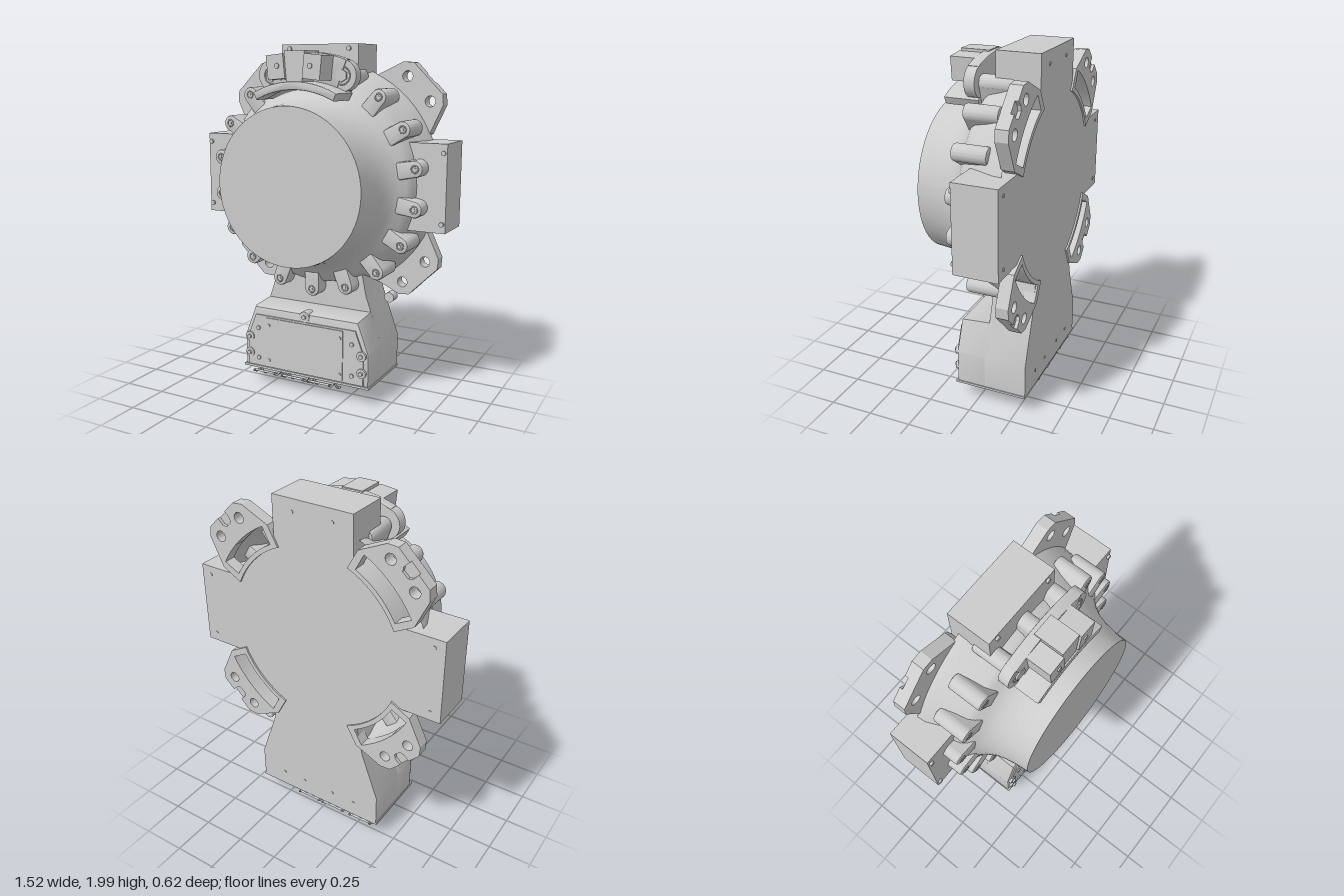
import * as THREE from 'three';
import { toCreasedNormals } from 'three/addons/utils/BufferGeometryUtils.js';

const CY = 1.24; // height of the round housing's axis
const mat = new THREE.MeshStandardMaterial({ color: 0xcccccc });
const thin = new THREE.MeshStandardMaterial({ color: 0xcccccc, side: THREE.DoubleSide });
const rad = THREE.MathUtils.degToRad;

export function createModel() {
  const model = new THREE.Group();

  const add = (name, geo, parent = model, material = mat) => {
    const m = new THREE.Mesh(geo, material);
    m.name = name;
    parent.add(m);
    return m;
  };
  // box from min/max corners
  const box = (name, x0, x1, y0, y1, z0, z1, parent) =>
    add(name, new THREE.BoxGeometry(x1 - x0, y1 - y0, z1 - z0)
      .translate((x0 + x1) / 2, (y0 + y1) / 2, (z0 + z1) / 2), parent);
  // cylinder along z
  const rod = (name, x, y, z0, z1, r, sides = 16, parent = model) =>
    add(name, new THREE.CylinderGeometry(r, r, z1 - z0, sides).rotateX(Math.PI / 2)
      .translate(x, y, (z0 + z1) / 2), parent);
  const shapeOf = pts => new THREE.Shape(pts.map(p => new THREE.Vector2(p[0], p[1])));
  // extrusion between two z planes, with an optional bevel kept inside that range
  const plate = (shape, z0, z1, bevel = 0) => toCreasedNormals(new THREE.ExtrudeGeometry(shape, {
    depth: z1 - z0 - 2 * bevel, curveSegments: 14, bevelEnabled: bevel > 0,
    bevelSize: bevel, bevelThickness: bevel, bevelOffset: -bevel, bevelSegments: 2,
  }).translate(0, 0, z0 + bevel), 0.5);
  const sector = (r0, r1, a0, a1, Type = THREE.Shape) => {
    const s = new Type();
    s.absarc(0, 0, r1, rad(a0), rad(a1), false);
    s.absarc(0, 0, r0, rad(a1), rad(a0), true);
    s.closePath();
    return s;
  };

  // Round housing: solid core, flared outer shell, flat front face
  const housing = new THREE.Group();
  housing.name = 'housing';
  housing.position.y = CY;
  model.add(housing);
  rod('core', 0, 0, -0.3, -0.01, 0.55, 64, housing);
  const profile = [[0.655, -0.25], [0.65, -0.2], [0.605, -0.09], [0.585, -0.02], [0.56, 0.01], [0.525, 0.035],
    [0.495, 0.07], [0.47, 0.115], [0.453, 0.17], [0.441, 0.24], [0.435, 0.31]];
  add('flaredShell', new THREE.LatheGeometry(profile.map(p => new THREE.Vector2(...p)), 64)
    .rotateX(Math.PI / 2), housing, thin);
  add('frontFace', new THREE.CircleGeometry(0.435, 64).translate(0, 0, 0.31), housing);

  // Ring of radial bolt bosses, every 20 degrees
  const capsule = new THREE.Shape();
  capsule.moveTo(0.45, -0.05);
  capsule.lineTo(0.62, -0.045);
  capsule.absarc(0.622, 0, 0.046, -Math.PI / 2, Math.PI / 2, false);
  capsule.lineTo(0.45, 0.05);
  capsule.closePath();
  const bossGeo = plate(capsule, -0.16, 0.035, 0.012);
  for (let i = 0; i < 18; i++) {
    const boss = new THREE.Group();
    boss.name = 'boltBoss';
    boss.rotation.z = rad(10 + 20 * i);
    housing.add(boss);
    add('bossBody', bossGeo, boss);
    add('boltRing', new THREE.TorusGeometry(0.019, 0.004, 6, 18).translate(0.625, 0, 0.036), boss);
    rod('boltHead', 0.625, 0, 0.03, 0.039, 0.008, 6, boss);
  }

  // Four corner mounting flanges with an arc pocket open to the back
  const outer = [[0.59, 0.27], [0.665, 0.43], [0.66, 0.49]];
  const notch = [[0.6, 0.55], [0.57, 0.52], [0.545, 0.515], [0.515, 0.545], [0.52, 0.57], [0.55, 0.6]];
  const flangeShape = notched => {
    const s = shapeOf([[0.48, 0.21], ...outer, ...(notched ? notch : []),
      ...outer.map(p => [p[1], p[0]]).reverse(), [0.21, 0.48]]);
    s.absarc(0, 0, 0.524, rad(66), rad(24), true);
    s.holes.push(sector(0.55, 0.65, 28, 62, THREE.Path));
    for (const [x, y] of [[0.455, 0.585], [0.59, 0.45]]) {
      s.holes.push(new THREE.Path().absarc(x, y, 0.03, 0, Math.PI * 2, true));
    }
    return s;
  };
  const flangeFront = plate(flangeShape(false), -0.292, -0.24);
  const flangeBack = plate(flangeShape(true), -0.31, -0.292);
  for (let i = 0; i < 4; i++) {
    const flange = new THREE.Group();
    flange.name = 'mountingFlange';
    flange.rotation.z = i * Math.PI / 2;
    housing.add(flange);
    add('flangePlate', flangeFront, flange);
    add('flangeRearFace', flangeBack, flange);
  }
  rod('flangeStud', 0.39, 0.56, -0.25, -0.19, 0.03);

  // Box arms at both sides and on top, with screws
  for (const s of [-1, 1]) {
    const [x0, x1] = s > 0 ? [0.4, 0.76] : [-0.76, -0.4];
    box('sideArm', x0, x1, 1.0, 1.48, -0.3, -0.055);
    for (const y of [1.05, 1.43]) {
      rod('armScrew', s * 0.74, y, -0.06, -0.043, 0.013);
      rod('armRearScrew', s * 0.7, y, -0.303, -0.29, 0.01);
    }
    rod('topArmScrew', s * 0.185, 1.975, -0.06, -0.043, 0.013);
    rod('topArmRearScrew', s * 0.12, 1.93, -0.303, -0.29, 0.01);
  }
  box('topArm', -0.24, 0.24, 1.6, 2.0, -0.3, -0.055);

  // Curved clamp over the top of the housing
  const clamp = new THREE.Group();
  clamp.name = 'topClamp';
  clamp.position.y = CY;
  model.add(clamp);
  add('clampPlate', plate(sector(0.53, 0.715, 70, 110), 0.035, 0.1, 0.008), clamp);
  add('clampShelf', plate(sector(0.515, 0.56, 63, 117), 0.035, 0.235, 0.008), clamp);
  add('clampWeb', plate(shapeOf([[-0.045, 0.53], [0.045, 0.53], [0.062, 0.72], [-0.062, 0.72]]),
    0.06, 0.225), clamp);
  for (const s of [-1, 1]) {
    rod('clampEar', s * 0.215, 0.59, 0.035, 0.095, 0.085, 32, clamp);
    add('earRing', new THREE.TorusGeometry(0.048, 0.004, 6, 24).translate(s * 0.215, 0.59, 0.096), clamp);
    rod('earNut', s * 0.215, 0.59, 0.09, 0.105, 0.035, 6, clamp);
    const lug = box('clampLug', -0.052, 0.052, -0.065, 0.065, 0.06, 0.235, clamp);
    lug.position.set(s * 0.11, 0.635, 0);
    lug.rotation.z = -s * 0.1;
    rod('lugBolt', s * 0.1, 0.64, 0.23, 0.242, 0.014, 12, clamp);
  }

  // Neck that widens into the connector housing below
  const neck = shapeOf([[-0.405, 0.115], [0.405, 0.115], [0.405, 0.31], [0.305, 0.59], [0.27, 0.76],
    [-0.27, 0.76], [-0.305, 0.59], [-0.405, 0.31]]);
  add('neck', plate(neck, -0.3, -0.055));
  const lower = shapeOf([[-0.405, 0.115], [0.405, 0.115], [0.405, 0.31], [0.337, 0.5],
    [-0.337, 0.5], [-0.405, 0.31]]);
  const lowerGeo = plate(lower, -0.075, 0.12, 0.018);
  const pos = lowerGeo.attributes.position;
  for (let i = 0; i < pos.count; i++) { // slope the shoulder down to the front
    if (pos.getY(i) > 0.45 && pos.getZ(i) > 0.05) pos.setY(i, pos.getY(i) - 0.012);
  }
  add('connectorHousing', lowerGeo);
  box('bottomPlate', -0.41, 0.41, 0.107, 0.12, -0.3, 0.125);

  // Front cover with its access panel and screws
  add('frontCover', plate(shapeOf([[-0.375, 0.125], [0.375, 0.125], [0.375, 0.31], [0.325, 0.44],
    [-0.325, 0.44], [-0.375, 0.31]]), 0.11, 0.128));
  box('accessPanel', -0.25, 0.25, 0.135, 0.43, 0.12, 0.134);
  for (const s of [-1, 1]) {
    for (const y of [0.17, 0.385]) rod('panelScrew', s * 0.232, y, 0.13, 0.14, 0.01, 12);
    for (const y of [0.175, 0.36]) rod('coverScrew', s * 0.305, y, 0.12, 0.136, 0.013, 12);
    for (const y of [0.2, 0.3]) {
      rod('coverLug', s * 0.365, y, 0.09, 0.135, 0.028);
      rod('lugScrew', s * 0.365, y, 0.13, 0.147, 0.013, 6);
    }
    for (const x of [0.1, 0.25]) rod('neckRearScrew', s * x, 0.2, -0.303, -0.29, 0.009, 12);
  }
  rod('shoulderBoss', 0, 0.47, 0.06, 0.125, 0.032);
  rod('shoulderScrew', 0, 0.47, 0.12, 0.135, 0.014, 6);

  // Three plug sockets under the housing, with sprung wire latches at both ends
  for (const x of [-0.285, -0.09, 0.08]) {
    const socket = new THREE.Group();
    socket.name = 'plugSocket';
    socket.position.set(x, 0, -0.09);
    model.add(socket);
    box('socketFlange', -0.075, 0.075, 0.085, 0.108, -0.14, 0.14, socket);
    box('socketBody', -0.06, 0.06, 0.045, 0.09, -0.11, 0.11, socket);
    box('socketRim', -0.05, 0.05, 0.035, 0.05, -0.1, 0.1, socket);
    for (const end of [-1, 1]) {
      for (const s of [-1, 1]) {
        const wire = [[0.2, 0.078], [0.165, 0.062], [0.12, 0.07], [0.1, 0.04], [0.07, 0.014], [0.045, 0.012]]
          .map(([z, y]) => new THREE.Vector3(s * 0.07, y, end * z));
        add('latchWire', new THREE.TubeGeometry(new THREE.CatmullRomCurve3(wire), 16, 0.007, 6), socket, thin);
      }
      const bar = box('latchBar', -0.07, 0.07, -0.006, 0.006, -0.025, 0.025, socket);
      bar.position.set(0, 0.07, end * 0.172);
      bar.rotation.x = -end * 0.42;
    }
  }

  // Stand the model on y = 0
  const low = new THREE.Box3().setFromObject(model).min.y;
  for (const part of model.children) part.position.y -= low;
  return model;
}
